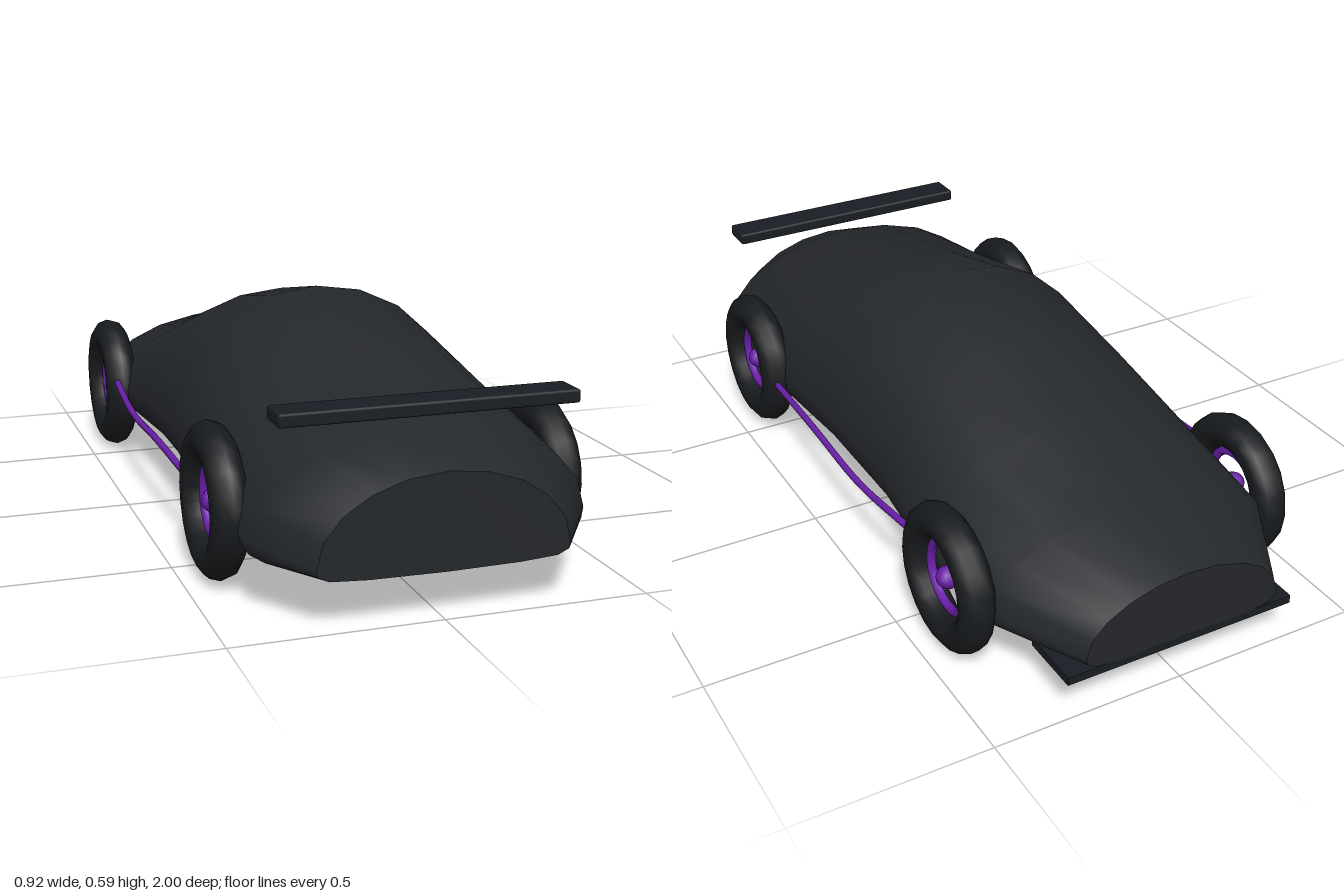
import * as THREE from 'three';
import { RoundedBoxGeometry } from 'three/addons/geometries/RoundedBoxGeometry.js';

const paint = (color) => new THREE.MeshStandardMaterial({ color });
const shellPaint = paint(0x24272b);
const wingPaint = paint(0x191d23);
const rubber = paint(0x181b1e);
const purple = paint(0x6a1fa8);

function add(parent, name, geometry, material, x = 0, y = 0, z = 0) {
  const mesh = new THREE.Mesh(geometry, material);
  mesh.name = name;
  mesh.position.set(x, y, z);
  parent.add(mesh);
  return mesh;
}

// Body stations: z, half width, roof height, height of the widest line, floor height
const stations = [
  [1.0, 0.30, 0.345, 0.15, 0.115],
  [0.85, 0.41, 0.41, 0.175, 0.108],
  [0.4, 0.408, 0.51, 0.21, 0.1],
  [0.1, 0.395, 0.592, 0.24, 0.097],
  [-0.22, 0.39, 0.53, 0.23, 0.097],
  [-0.48, 0.408, 0.435, 0.2, 0.1],
  [-0.77, 0.395, 0.362, 0.18, 0.108],
  [-1.0, 0.265, 0.305, 0.16, 0.118],
];
// Lower quarter of a section: share of half width, share of drop to the floor
const lower = [[0.99, 0.4], [0.9, 0.76], [0.6, 0.93], [0, 1]];

// Closed ring, starting at the roof centre and running down the +x side first
function section([z, w, top, mid, floor]) {
  const half = [];
  for (let i = 0; i <= 5; i++) {
    const a = (i / 5) * Math.PI / 2;
    half.push([w * Math.sin(a), mid + (top - mid) * Math.cos(a)]);
  }
  lower.forEach(([u, v]) => half.push([w * u, mid - (mid - floor) * v]));
  const mirrored = half.slice(1, -1).reverse().map(([x, y]) => [-x, y]);
  return [...half, ...mirrored].map(([x, y]) => new THREE.Vector3(x, y, z));
}

function loft(rings) {
  const n = rings[0].length;
  const points = rings.flat();
  const index = [];
  for (let r = 0; r < rings.length - 1; r++) {
    for (let i = 0; i < n; i++) {
      const a = r * n + i;
      const b = r * n + (i + 1) % n;
      index.push(a, b, a + n, b, b + n, a + n);
    }
  }
  const geometry = new THREE.BufferGeometry().setFromPoints(points);
  geometry.setIndex(index);
  geometry.computeVertexNormals();
  return geometry;
}

// Flat end closing one ring
function cap(ring, facesForward) {
  const index = [];
  for (let i = 1; i < ring.length - 1; i++) {
    index.push(0, ...(facesForward ? [i + 1, i] : [i, i + 1]));
  }
  const geometry = new THREE.BufferGeometry().setFromPoints(ring);
  geometry.setIndex(index);
  geometry.computeVertexNormals();
  return geometry;
}

function makeBody() {
  const body = new THREE.Group();
  body.name = 'body';
  const rings = stations.map(section);
  add(body, 'shell', loft(rings), shellPaint);
  add(body, 'frontEnd', cap(rings[0], true), shellPaint);
  add(body, 'backEnd', cap(rings[rings.length - 1], false), shellPaint);
  return body;
}

function makeWheel(name, x, z) {
  const wheel = new THREE.Group();
  wheel.name = name;
  const tyre = new THREE.TorusGeometry(0.145, 0.045, 10, 20).rotateY(Math.PI / 2);
  const rim = new THREE.TorusGeometry(0.088, 0.012, 8, 20).rotateY(Math.PI / 2);
  const hub = new THREE.SphereGeometry(0.03, 8, 6).rotateZ(Math.PI / 2);
  add(wheel, 'tyre', tyre, rubber);
  add(wheel, 'rim', rim, purple);
  add(wheel, 'hub', hub, purple);
  wheel.position.set(x, 0.193, z);
  return wheel;
}

export function createModel() {
  const car = new THREE.Group();
  car.name = 'car';
  car.add(makeBody());

  // Floating wing and the flat lip at the opposite end
  add(car, 'wing', new RoundedBoxGeometry(0.714, 0.032, 0.09, 1, 0.006), wingPaint, 0, 0.462, 0.87);
  add(car, 'splitter', new THREE.BoxGeometry(0.624, 0.022, 0.16), wingPaint, 0, 0.114, -0.92);

  // Wheels and side trim, mirrored
  for (const [side, label] of [[1, 'left'], [-1, 'right']]) {
    car.add(makeWheel(`${label}FrontWheel`, side * 0.417, 0.588));
    car.add(makeWheel(`${label}BackWheel`, side * 0.417, -0.622));
    const path = new THREE.CatmullRomCurve3([
      [0.43, 0.193, 0.43], [0.442, 0.211, 0.12], [0.444, 0.207, -0.18], [0.433, 0.232, -0.46],
    ].map(([x, y, z]) => new THREE.Vector3(side * x, y, z)));
    add(car, `${label}SideTrim`, new THREE.TubeGeometry(path, 20, 0.009, 8), purple);
  }
  return car;
}
